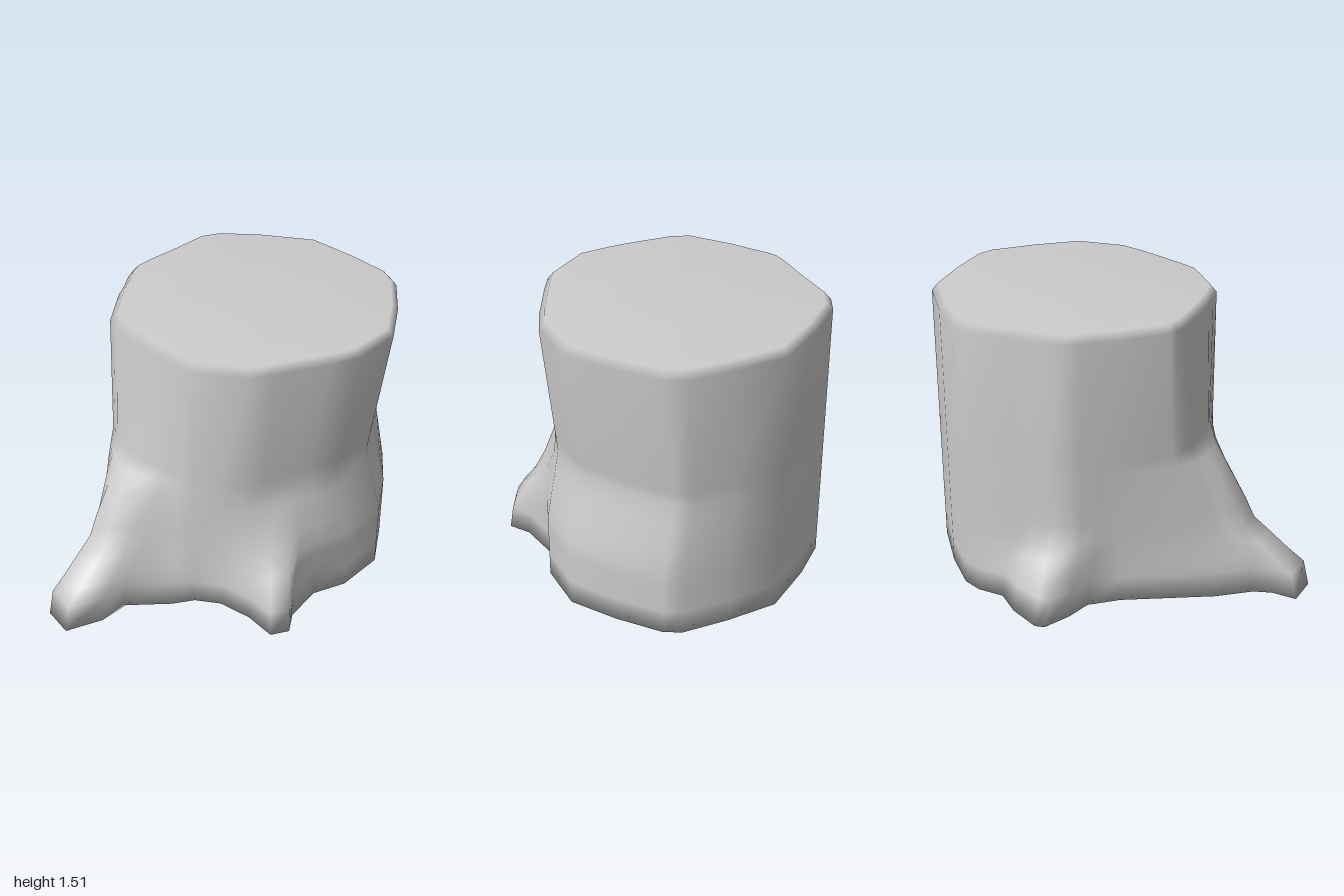
import * as THREE from 'three';

// heights of the rings, from the ground to the lower edge of the bevel
const heights = [0, 0.14, 0.21, 0.3, 0.37, 0.48, 0.65, 0.75, 0.82, 1.47];
// how far the trunk's left flank is pinched at each ring
const pinch = [0, 0, 0, 0, 0, 0.29, 0.74, 1, 0.9, 0];
// how far each root reaches from trunk (0) to its foot (1) at each ring
const reach = {
  front: [1, 0.95, 0.81, 0.65, 0.52, 0.44, 0.29, 0.17, 0.08, 0],
  left: [1, 0.92, 0.84, 0.62, 0.4, 0.2, 0, 0, 0, 0],
  right: [1, 0.75, 0.6, 0.33, 0.05, 0, 0, 0, 0, 0],
};

// outline columns: trunk x, z, then foot x, z and root where one grows
const columns = [
  [0.10, -1.0], [0.37, -0.92], [0.60, -0.83], [0.67, -0.76],
  [0.77, -0.52], [0.845, -0.26], [0.77, 0.0],
  [0.67, 0.12, 0.65, 0.15, 'left'],
  [0.59, 0.20, 0.62, 0.36, 'left'],
  [0.53, 0.26, 0.655, 0.48, 'left'],
  [0.46, 0.33, 0.58, 0.55, 'left'],
  [0.37, 0.41, 0.42, 0.48, 'left'],
  [0.24, 0.45], [0.10, 0.49],
  [0.02, 0.47, 0.0, 0.56, 'front'],
  [-0.07, 0.445, -0.23, 0.69, 'front'],
  [-0.15, 0.42, -0.27, 0.84, 'front'],
  [-0.25, 0.38, -0.40, 1.0, 'front'],
  [-0.33, 0.345, -0.55, 0.92, 'front'],
  [-0.42, 0.31, -0.49, 0.80, 'front'],
  [-0.46, 0.275, -0.48, 0.70, 'front'],
  [-0.50, 0.24, -0.53, 0.50, 'front'],
  [-0.59, 0.0],
  [-0.62, -0.12, -0.64, -0.17, 'right'],
  [-0.645, -0.20, -0.75, -0.26, 'right'],
  [-0.655, -0.27, -0.85, -0.38, 'right'],
  [-0.635, -0.35, -0.84, -0.43, 'right'],
  [-0.60, -0.45, -0.70, -0.55, 'right'],
  [-0.57, -0.53, -0.56, -0.62, 'right'],
  [-0.50, -0.75], [-0.42, -0.83], [-0.20, -0.92],
];
const centre = { x: 0.1, z: -0.25 };

function stumpGeometry() {
  const positions = [];
  const indices = [];
  const n = columns.length;

  // trunk rings with the roots drawn outward
  heights.forEach((y, i) => {
    for (const [tx, tz, fx = tx, fz = tz, root] of columns) {
      const f = root ? reach[root][i] : 0;
      const x = tx > centre.x ? tx - (tx - centre.x) * 0.13 * pinch[i] : tx;
      const floor = root === 'front' ? 0 : 0.01;
      positions.push(x + (fx - x) * f, Math.max(y, floor), tz + (fz - tz) * f);
    }
  });

  // bevelled rim
  for (const [tx, tz] of columns) {
    positions.push(
      centre.x + (tx - centre.x) * 0.955,
      1.51,
      centre.z + (tz - centre.z) * 0.955
    );
  }

  // side walls, cut top and underside
  const rings = heights.length + 1;
  const top = rings * n;
  const bottom = top + 1;
  positions.push(centre.x, 1.51, centre.z, centre.x, 0.01, centre.z);
  for (let j = 0; j < n; j++) {
    const k = (j + 1) % n;
    for (let i = 0; i < rings - 1; i++) {
      const a = i * n + j, b = i * n + k;
      indices.push(b, a, a + n, b, a + n, b + n);
    }
    const rim = (rings - 1) * n;
    indices.push(top, rim + k, rim + j, bottom, j, k);
  }

  const geometry = new THREE.BufferGeometry();
  geometry.setAttribute('position', new THREE.Float32BufferAttribute(positions, 3));
  geometry.setIndex(indices);
  geometry.computeVertexNormals();
  return geometry;
}

export function createModel() {
  const group = new THREE.Group();
  group.name = 'treeStump';
  const material = new THREE.MeshStandardMaterial({ color: 0xcccccc });
  const stump = new THREE.Mesh(stumpGeometry(), material);
  stump.name = 'trunkWithRoots';
  group.add(stump);
  return group;
}
